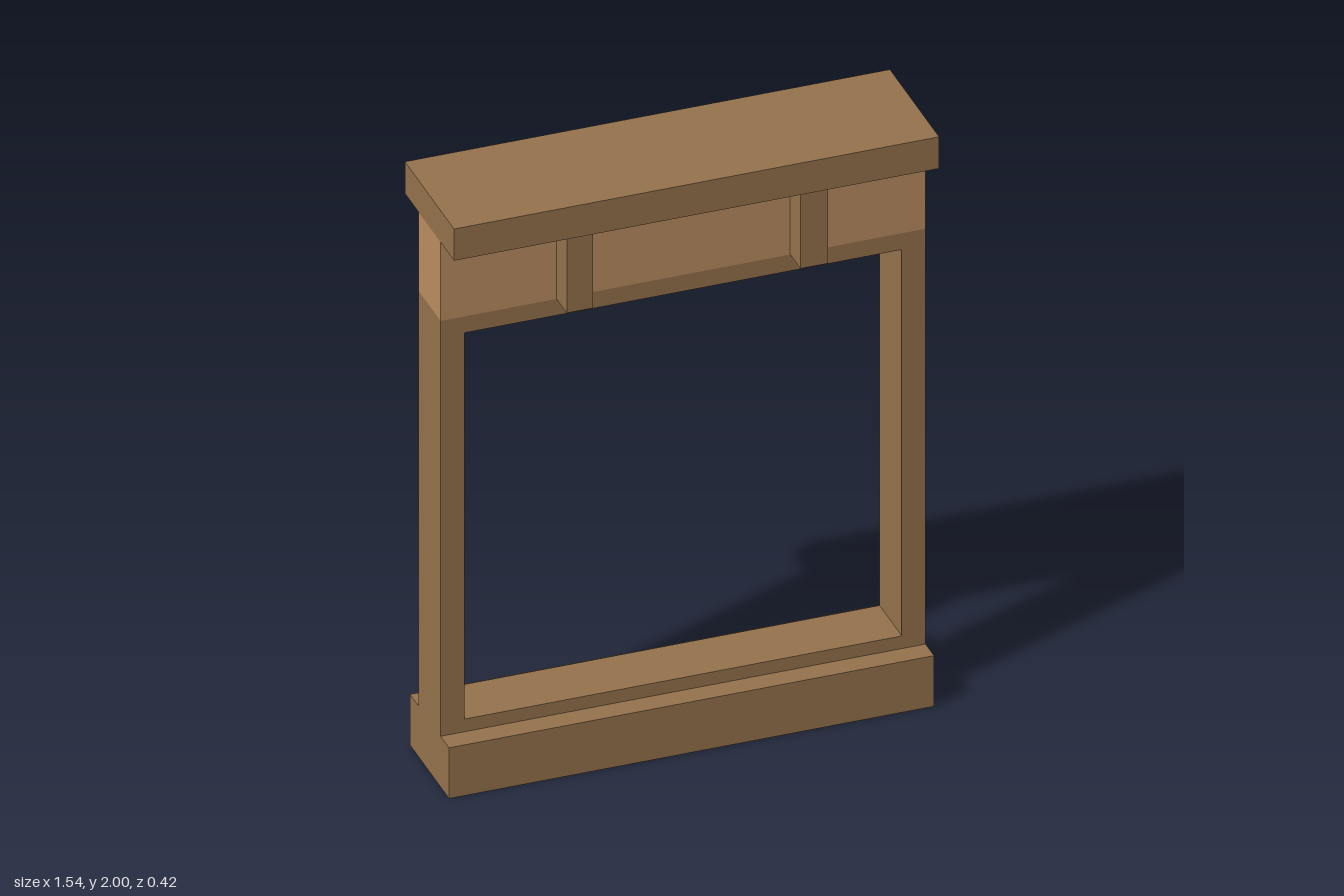
import * as THREE from 'three';

const HALF_W = 0.772;  // half width shared by all the long parts
const WALL_Z = 0.095;  // half depth of the frame and the band

// Box given by its limits; `drop` lists faces left open (0 +x, 1 -x, 2 +y, 3 -y, 4 +z, 5 -z)
function box(name, material, [x0, x1], [y0, y1], [z0, z1], drop = []) {
  const geometry = new THREE.BoxGeometry(x1 - x0, y1 - y0, z1 - z0);
  geometry.translate((x0 + x1) / 2, (y0 + y1) / 2, (z0 + z1) / 2);
  if (drop.length) {
    const index = Array.from(geometry.index.array);
    geometry.setIndex(index.filter((_, i) => !drop.includes(Math.floor(i / 6))));
    geometry.clearGroups();
  }
  const mesh = new THREE.Mesh(geometry, material);
  mesh.name = name;
  return mesh;
}

function rectangle(path, x, y0, y1) {
  path.moveTo(-x, y0);
  path.lineTo(x, y0);
  path.lineTo(x, y1);
  path.lineTo(-x, y1);
  path.closePath();
  return path;
}

export function createModel() {
  const wood = new THREE.MeshStandardMaterial({ color: 0x96734d, side: THREE.DoubleSide });
  wood.name = 'brown wood';
  const paleWood = new THREE.MeshStandardMaterial({ color: 0xbd8f63 });
  paleWood.name = 'pale wood';

  const group = new THREE.Group();
  group.name = 'windowFrame';
  const width = [-HALF_W, HALF_W];

  // Frame around the opening
  const outline = rectangle(new THREE.Shape(), HALF_W, 0.06, 1.617);
  outline.holes.push(rectangle(new THREE.Path(), 0.696, 0.22, 1.56));
  const frameGeometry = new THREE.ExtrudeGeometry(outline, { depth: 2 * WALL_Z, bevelEnabled: false });
  frameGeometry.translate(0, 0, -WALL_Z);
  const frame = new THREE.Mesh(frameGeometry, wood);
  frame.name = 'frame';
  group.add(frame);

  // Sill with a shallow hollow underneath
  group.add(box('sill', wood, width, [0, 0.176], [-0.167, 0.167], [3]));
  const floor = new THREE.Mesh(new THREE.PlaneGeometry(2 * HALF_W, 0.334), wood);
  floor.rotation.x = Math.PI / 2;
  floor.position.y = 0.05;
  floor.name = 'sillUnderside';
  group.add(floor);

  // Pale band above the opening, and the cap on top
  group.add(box('band', paleWood, width, [1.617, 1.89], [-WALL_Z, WALL_Z]));
  group.add(box('cap', wood, width, [1.89, 2], [-0.21, 0.21]));

  // Hollow brackets under the cap, front and back
  for (const [side, x] of [['right', [-0.403, -0.32]], ['left', [0.341, 0.429]]]) {
    group.add(box(side + 'FrontBracket', wood, x, [1.617, 1.89], [WALL_Z, 0.183], [2, 3, 5]));
    group.add(box(side + 'BackBracket', wood, x, [1.617, 1.89], [-0.183, -WALL_Z], [2, 3, 4]));
  }
  return group;
}
